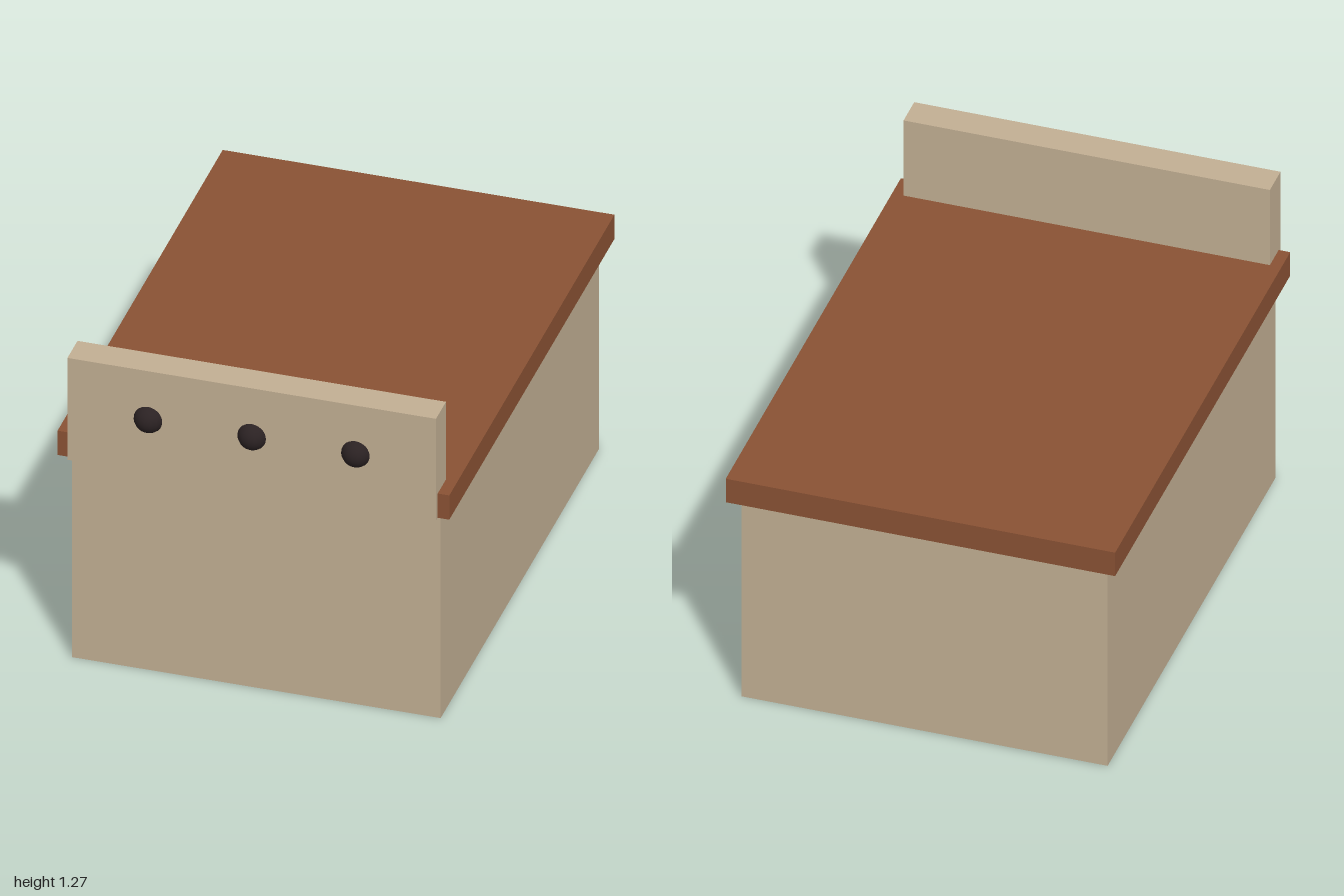
import * as THREE from 'three';

export function createModel() {
  const model = new THREE.Group();
  const material = (name, color) => {
    const m = new THREE.MeshStandardMaterial({ color });
    m.name = name;
    return m;
  };
  const beige = material('beige', 0xc2af93);
  const brown = material('brown', 0x8a5234);
  const black = material('black', 0x2b2223);

  // Box given by its width and its y and z limits, centred on x
  const addBox = (name, width, y0, y1, z0, z1, mat) => {
    const mesh = new THREE.Mesh(new THREE.BoxGeometry(width, y1 - y0, z1 - z0), mat);
    mesh.position.set(0, (y0 + y1) / 2, (z0 + z1) / 2);
    mesh.name = name;
    model.add(mesh);
  };

  addBox('cabinet', 1.35, 0, 0.847, -0.955, 0.905, beige);
  addBox('worktop', 1.435, 0.847, 0.947, -1, 0.94, brown);
  addBox('controlPanel', 1.35, 0.847, 1.267, 0.842, 0.96, beige);

  // Round knobs half sunk into the panel
  const knobGeometry = new THREE.SphereGeometry(0.055, 16, 12);
  [-0.38, 0, 0.38].forEach((x, i) => {
    const knob = new THREE.Mesh(knobGeometry, black);
    knob.position.set(x, 1.067, 0.945);
    knob.name = `knob${i + 1}`;
    model.add(knob);
  });

  return model;
}
